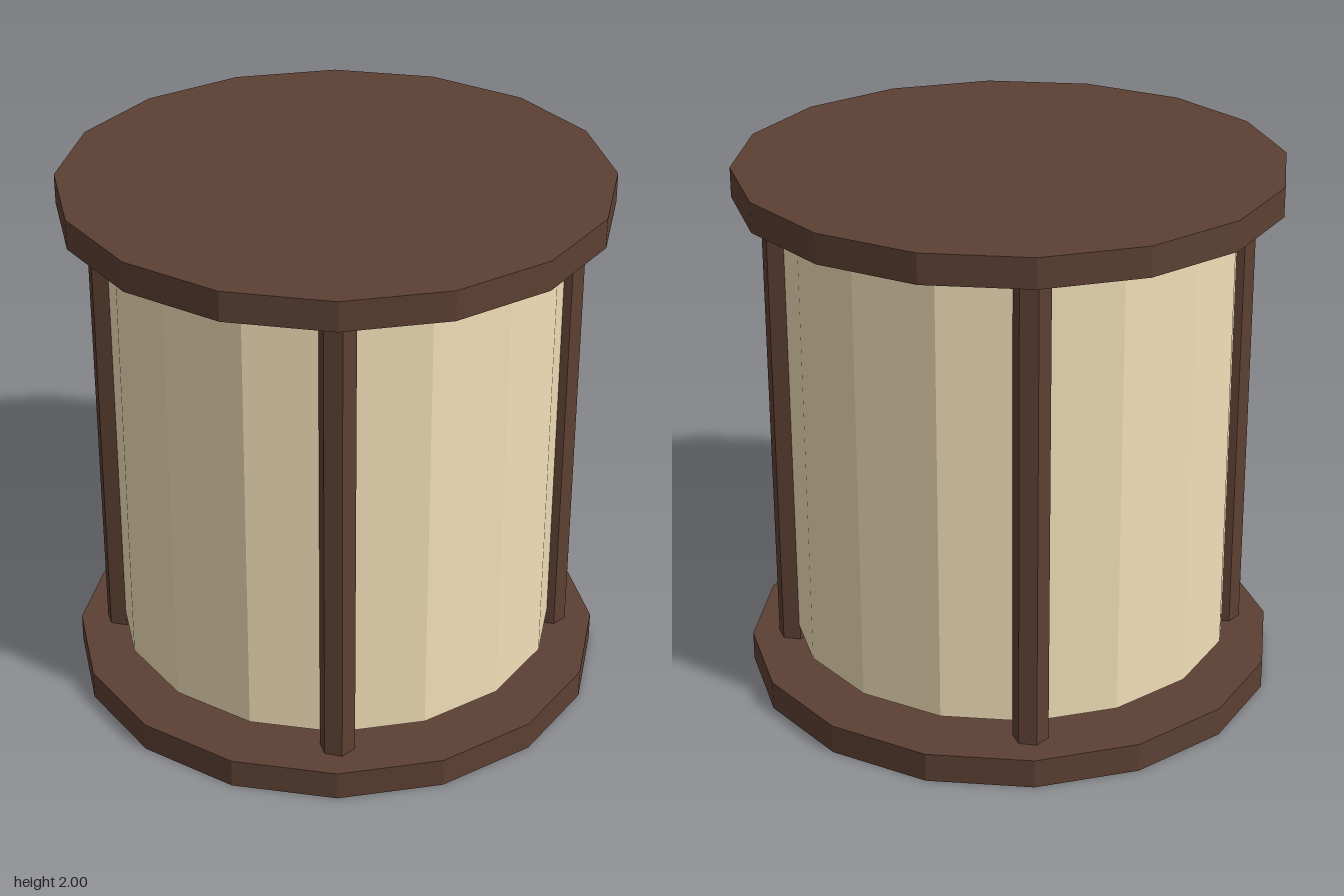
import * as THREE from 'three';

const WOOD = new THREE.MeshStandardMaterial({ color: 0x5c4033, flatShading: true });
const PAPER = new THREE.MeshStandardMaterial({ color: 0xf2dfb8, flatShading: true });

// Upright faceted cylinder standing between two heights
function prism(name, radius, sides, bottom, top, material, x = 0, z = 0) {
  const geometry = new THREE.CylinderGeometry(radius, radius, top - bottom, sides);
  const mesh = new THREE.Mesh(geometry, material);
  mesh.name = name;
  mesh.position.set(x, (bottom + top) / 2, z);
  return mesh;
}

export function createModel() {
  const model = new THREE.Group();
  model.name = 'lantern';

  // End plates
  model.add(prism('basePlate', 1, 16, 0, 0.11, WOOD));
  model.add(prism('topPlate', 1, 16, 1.89, 2, WOOD));

  // Shade, held clear of both plates
  model.add(prism('shade', 0.833, 16, 0.17, 1.835, PAPER));

  // Four hexagonal posts on the diagonals
  const offset = 0.59;
  for (const [sideX, x] of [['Left', offset], ['Right', -offset]]) {
    for (const [sideZ, z] of [['front', offset], ['back', -offset]]) {
      model.add(prism(`${sideZ}${sideX}Post`, 0.066, 6, 0.11, 1.89, WOOD, x, z));
    }
  }

  return model;
}
